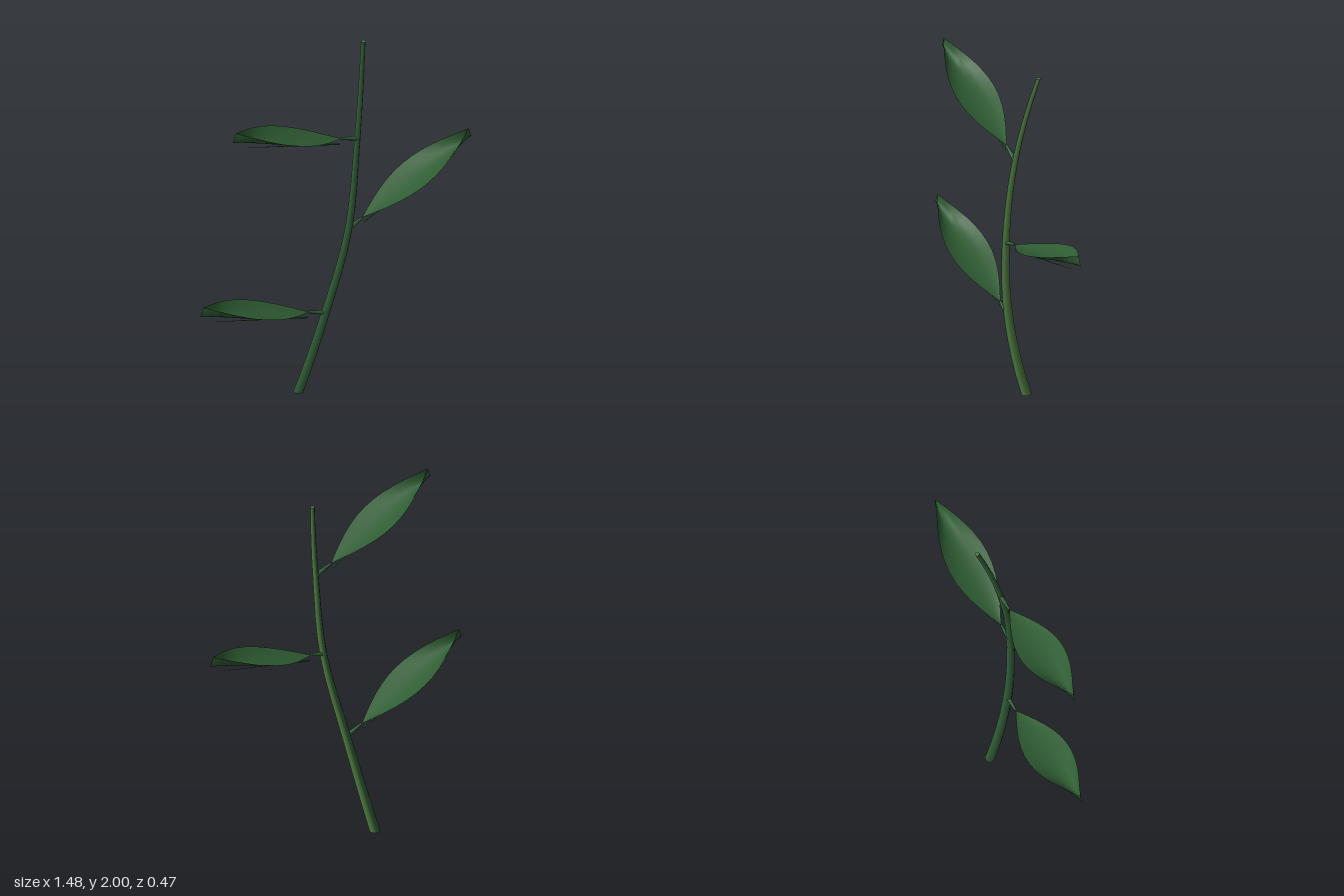
import * as THREE from 'three';

const V = (x, y, z) => new THREE.Vector3(x, y, z);

export function createModel() {
  const root = new THREE.Group();
  root.name = 'leafyTwig';

  const material = (name, color) => {
    const m = new THREE.MeshStandardMaterial({ color, side: THREE.DoubleSide });
    m.name = name;
    return m;
  };
  const leafGreen = material('leafGreen', 0x2f5d33);
  const stemGreen = material('stemGreen', 0x33613a);
  const stemLight = material('stemLightGreen', 0x4f7c40);

  const add = (name, geometry, mat, parent = root) => {
    const mesh = new THREE.Mesh(geometry, mat);
    mesh.name = name;
    parent.add(mesh);
    return mesh;
  };

  // Gently bowed centre line of the stem
  const line = new THREE.CatmullRomCurve3(
    [V(-0.157, 0, 0), V(-0.055, 0.5, 0), V(0.053, 1, 0), V(0.108, 1.5, 0), V(0.167, 2, 0)]);
  const centre = (y) => V(line.getPoint(y / 2).x, y, 0.02 - 0.14 * (y - 1) ** 2);

  // Tapered stem, bent along the centre line; the paler side is its own strip
  const side = Math.PI / 4;
  const start = THREE.MathUtils.degToRad(37.5);
  function stemStrip(name, first, count, mat) {
    const g = new THREE.CylinderGeometry(0.011, 0.026, 2, count, 16, true, start + first * side, count * side);
    const p = g.attributes.position;
    for (let i = 0; i < p.count; i++) {
      const y = THREE.MathUtils.clamp(p.getY(i) + 1, 0, 2);
      const c = centre(y);
      p.setXYZ(i, p.getX(i) + c.x, y, p.getZ(i) + c.z);
    }
    add(name, g, mat);
  }
  stemStrip('stemPaleSide', 0, 3, stemLight);
  stemStrip('stem', 3, 5, stemGreen);
  for (const [name, y, r, turn, mat] of [
    ['stemFoot', 0, 0.026, Math.PI / 2, stemGreen],
    ['stemTip', 2, 0.011, -Math.PI / 2, stemLight]]) {
    const cap = add(name, new THREE.CircleGeometry(r, 8), mat);
    cap.position.copy(centre(y));
    cap.rotation.x = turn;
  }

  // Tapered rod between two points
  function rod(name, a, b, ra, rb, mat, parent) {
    const d = b.clone().sub(a);
    const mesh = add(name, new THREE.CylinderGeometry(rb, ra, d.length(), 6), mat, parent);
    mesh.position.copy(a).addScaledVector(d, 0.5);
    mesh.quaternion.setFromUnitVectors(V(0, 1, 0), d.normalize());
  }

  // Blade pointed at both ends, cupped more and more towards the tip
  function bladeGeometry(base, axis, across, up) {
    const g = new THREE.PlaneGeometry(2, 1, 6, 12);
    const p = g.attributes.position;
    for (let i = 0; i < p.count; i++) {
      const u = p.getX(i);
      const t = p.getY(i) + 0.5;
      const q = base.clone().addScaledVector(axis, t)
        .addScaledVector(across, u * 0.106 * Math.sin(Math.PI * t))
        .addScaledVector(up, 0.052 * u * u * t);
      p.setXYZ(i, q.x, q.y, q.z);
    }
    g.computeVertexNormals();
    return g;
  }

  function leaf(name, joint, base, tip) {
    const group = new THREE.Group();
    group.name = name;
    root.add(group);
    const axis = tip.clone().sub(base);
    const across = axis.clone().cross(V(0, 1, 0)).normalize();
    const up = across.clone().cross(axis).normalize();
    add('blade', bladeGeometry(base, axis, across, up), leafGreen, group);
    rod('stalk', joint, base, 0.013, 0.006, stemGreen, group);
    // Midrib running just beneath the blade
    const ribStart = base.clone().addScaledVector(up, -0.03);
    rod('midrib', ribStart, ribStart.clone().addScaledVector(axis, 0.85), 0.004, 0.001, stemGreen, group);
  }
  leaf('lowerLeaf', centre(0.515), V(-0.14, 0.55, 0.01), V(-0.743, 0.773, 0.217));
  leaf('middleLeaf', centre(1.01), V(0.13, 1.042, -0.01), V(0.738, 1.27, -0.22));
  leaf('upperLeaf', centre(1.51), V(0.02, 1.542, 0.01), V(-0.58, 1.768, 0.215));

  return root;
}
